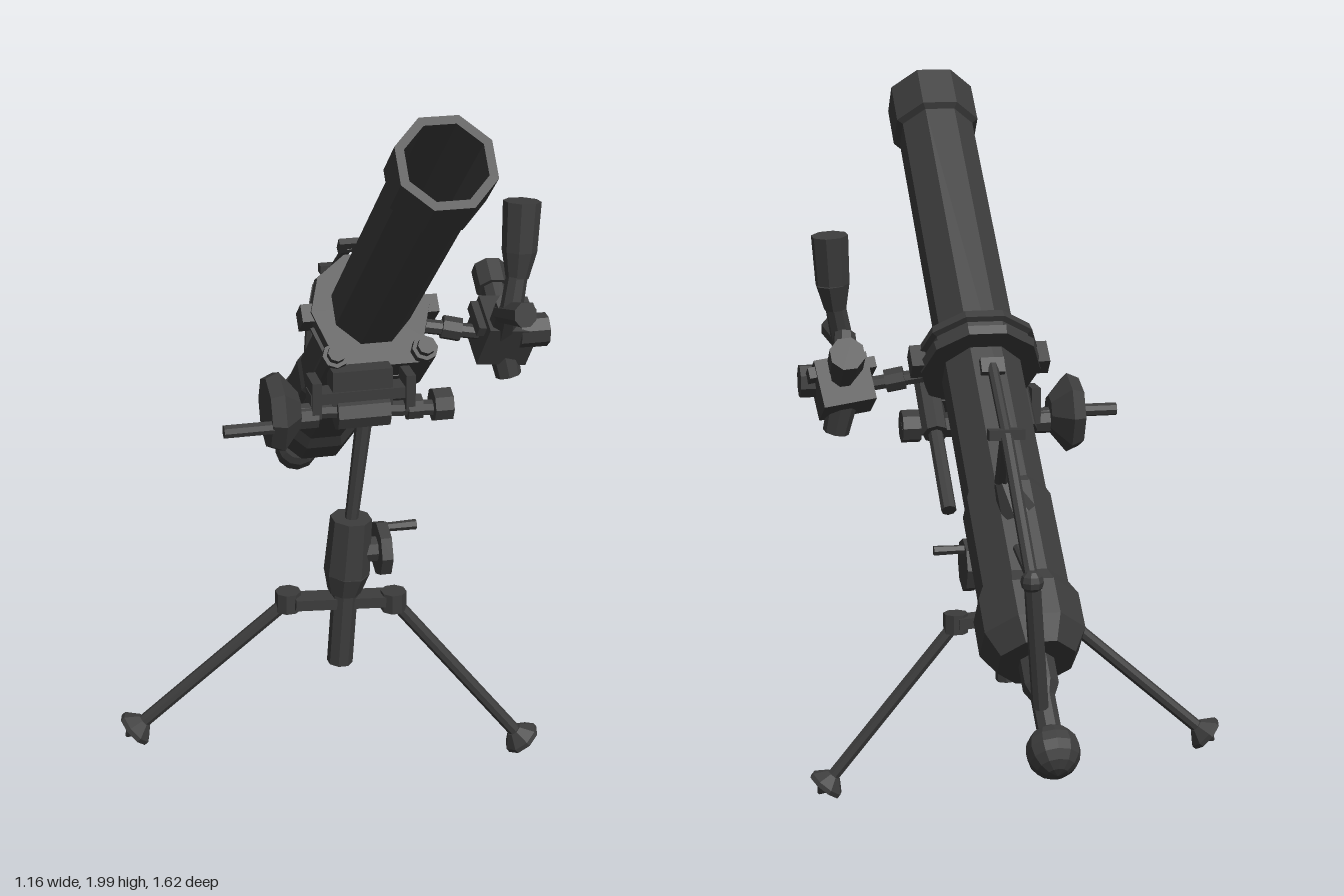
import * as THREE from 'three';

const V = (x, y, z) => new THREE.Vector3(x, y, z);
const mat = new THREE.MeshStandardMaterial({ color: 0x3c3c3c, flatShading: true });

function add(parent, name, geo, x = 0, y = 0, z = 0) {
  const m = new THREE.Mesh(geo, mat);
  m.name = name;
  m.position.set(x, y, z);
  parent.add(m);
  return m;
}
const box = (p, name, w, h, d, x, y, z) => add(p, name, new THREE.BoxGeometry(w, h, d), x, y, z);

// Cylinder running from point a to point b
function rod(parent, name, a, b, r0, r1 = r0, n = 8) {
  const A = V(...a), B = V(...b), d = B.clone().sub(A);
  const m = add(parent, name, new THREE.CylinderGeometry(r1, r0, d.length(), n));
  m.position.copy(A).add(B).multiplyScalar(0.5);
  m.quaternion.setFromUnitVectors(V(0, 1, 0), d.normalize());
  return m;
}

const lathe = (pts, n = 8) =>
  new THREE.LatheGeometry(pts.map(p => new THREE.Vector2(...p)), n).rotateY(Math.PI / n);

export function createModel() {
  const root = new THREE.Group();
  root.name = 'mortar';
  const yaw = -0.461;

  // Barrel frame: y runs from ball to muzzle, x sideways, z to the underside
  const ball = V(0.51, 0.475, -0.745);
  const axis = V(-0.22, 1.91, 0.72).sub(ball).normalize();
  const side = V(axis.z, 0, -axis.x).normalize();
  const tube = new THREE.Group();
  tube.name = 'barrelAssembly';
  tube.position.copy(ball);
  tube.quaternion.setFromRotationMatrix(
    new THREE.Matrix4().makeBasis(side, axis, side.clone().cross(axis)));
  root.add(tube);

  add(tube, 'barrel', lathe([[0, 0.25], [0.1, 0.25], [0.135, 0.31], [0.135, 0.41], [0.116, 0.45],
    [0.116, 0.72], [0.108, 0.74], [0.108, 2.03], [0.125, 2.04], [0.125, 2.17],
    [0.102, 2.17], [0.09, 0.6], [0, 0.6]]));
  add(tube, 'breechNeck', lathe([[0, 0.02], [0.03, 0.02], [0.03, 0.15], [0.045, 0.18], [0.045, 0.27], [0, 0.27]]));
  add(tube, 'ballFoot', new THREE.SphereGeometry(0.066, 12, 8));

  // Clamp ring: two flanges around a narrower band
  add(tube, 'clampRing', lathe([[0.1, 1.16], [0.16, 1.16], [0.165, 1.185], [0.15, 1.19], [0.15, 1.21],
    [0.165, 1.215], [0.16, 1.24], [0.1, 1.24]], 10));
  box(tube, 'clampSaddle', 0.27, 0.09, 0.05, 0, 1.2, 0.14);
  for (const s of [-1, 1]) {
    box(tube, 'clampLug', 0.04, 0.07, 0.05, s * 0.165, 1.2, 0);
    rod(tube, 'bufferCylinder', [s * 0.12, 1.06, 0.135], [s * 0.12, 1.27, 0.135], 0.035);
    rod(tube, 'bufferRod', [s * 0.12, 0.81, 0.135], [s * 0.12, 1.08, 0.135], 0.02);
    rod(tube, 'bufferCap', [s * 0.12, 1.27, 0.135], [s * 0.12, 1.29, 0.135], 0.024);
  }
  box(tube, 'bufferBridge', 0.26, 0.04, 0.03, 0, 1.08, 0.135);

  // Traversing head, lying across the barrel
  const head = new THREE.Group();
  head.name = 'traversingHead';
  head.position.set(-0.02, 1.06, 0.19);
  head.rotation.y = yaw;
  root.add(head);
  rod(head, 'traverseScrew', [-0.24, 0.02, 0], [0.24, -0.01, 0], 0.022);
  for (const [a, b, r] of [[-0.19, -0.12, 0.035], [-0.07, 0.07, 0.045], [0.12, 0.16, 0.035], [0.19, 0.24, 0.045]])
    rod(head, 'traverseSleeve', [a, 0, 0], [b, 0, 0], r);
  rod(head, 'traverseWheel', [-0.255, 0.02, 0], [-0.22, 0.02, 0], 0.095, 0.11);
  rod(head, 'traverseWheelHub', [-0.22, 0.02, 0], [-0.17, 0.02, 0], 0.11, 0.05);
  rod(head, 'traverseHandle', [-0.38, 0.01, 0.075], [-0.25, 0.01, 0.075], 0.018);
  box(head, 'headBlock', 0.16, 0.12, 0.07, 0, 0.06, -0.02);
  box(head, 'headBracket', 0.28, 0.03, 0.06, 0, 0.05, -0.01);
  for (const s of [-1, 1]) box(head, 'headCheek', 0.025, 0.1, 0.08, s * 0.125, 0.05, -0.01);

  // Elevating column
  const column = new THREE.Group();
  column.name = 'elevatingColumn';
  root.add(column);
  rod(column, 'elevatingTube', [-0.07, 0.325, 0.165], [-0.06, 0.56, 0.175], 0.035);
  rod(column, 'gearHousing', [-0.062, 0.54, 0.172], [-0.058, 0.6, 0.178], 0.045, 0.062);
  rod(column, 'gearHousing', [-0.058, 0.6, 0.178], [-0.05, 0.76, 0.186], 0.062, 0.056);
  rod(column, 'elevatingScrew', [-0.05, 0.75, 0.186], [-0.02, 1.04, 0.2], 0.018, 0.022);
  const crank = new THREE.Group();
  crank.name = 'elevatingCrank';
  crank.position.set(-0.055, 0.66, 0.182);
  crank.rotation.y = yaw;
  column.add(crank);
  rod(crank, 'crankShaft', [0, 0, 0], [0.09, 0, 0], 0.035);
  rod(crank, 'crankWheel', [0.075, 0, 0], [0.105, 0, 0], 0.075);
  rod(crank, 'crankHandle', [0.1, 0.05, -0.02], [0.19, 0.05, -0.02], 0.012, 0.014, 6);

  // Bipod crosspiece, legs and spiked feet
  const cross = box(column, 'bipodCrosspiece', 0.27, 0.03, 0.06, -0.06, 0.51, 0.165);
  cross.rotation.set(0, yaw, -0.07);
  for (const [hip, foot] of [[[0.06, 0.495, 0.235], [0.37, 0.04, 0.43]],
    [[-0.185, 0.515, 0.085], [-0.54, 0.15, -0.14]]]) {
    rod(root, 'legHinge', [hip[0], hip[1] - 0.025, hip[2]], [hip[0], hip[1] + 0.03, hip[2]], 0.035);
    rod(root, 'leg', hip, foot, 0.018);
    const d = V(...foot).sub(V(...hip)).normalize();
    const at = s => V(...foot).addScaledVector(d, s).toArray();
    rod(root, 'footCup', at(-0.035), at(-0.005), 0.022, 0.052);
    rod(root, 'footPlate', at(-0.005), at(0.008), 0.052);
    rod(root, 'footSpike', at(0.008), at(0.035), 0.025, 0.003, 6);
  }

  // Sight on the barrel's left
  const sight = new THREE.Group();
  sight.name = 'sight';
  root.add(sight);
  rod(sight, 'sightArm', [0.2, 1.23, 0.13], [0.36, 1.2, 0.24], 0.02);
  rod(sight, 'sightArmCollar', [0.27, 1.22, 0.175], [0.31, 1.21, 0.205], 0.032);
  const body = box(sight, 'sightBody', 0.14, 0.13, 0.13, 0.41, 1.2, 0.26);
  body.rotation.set(0.45, yaw, -0.15, 'YXZ');
  const plate = box(sight, 'sightPlate', 0.18, 0.03, 0.1, 0.41, 1.235, 0.27);
  plate.rotation.copy(body.rotation);
  rod(sight, 'sightRearDrum', [0.43, 1.23, 0.23], [0.48, 1.295, 0.14], 0.035);
  rod(sight, 'sightRearCap', [0.465, 1.275, 0.165], [0.495, 1.315, 0.11], 0.047);
  rod(sight, 'sightSideKnob', [0.42, 1.21, 0.31], [0.49, 1.21, 0.345], 0.045);
  rod(sight, 'sightLowerKnob', [0.41, 1.16, 0.26], [0.42, 1.075, 0.28], 0.04, 0.035);
  rod(sight, 'sightNeck', [0.38, 1.22, 0.29], [0.34, 1.32, 0.35], 0.04, 0.03);
  rod(sight, 'sightElbow', [0.345, 1.29, 0.33], [0.31, 1.325, 0.45], 0.03, 0.034);
  rod(sight, 'eyepieceStem', [0.335, 1.31, 0.37], [0.36, 1.4, 0.362], 0.03, 0.028);
  rod(sight, 'eyepiece', [0.36, 1.39, 0.362], [0.372, 1.46, 0.355], 0.03, 0.046);
  rod(sight, 'eyepiece', [0.372, 1.46, 0.355], [0.386, 1.59, 0.345], 0.046, 0.05);

  // Bent carrying handle behind the barrel
  const handle = new THREE.Group();
  handle.name = 'carryingHandle';
  root.add(handle);
  const bend = [[0.505, 0.57, -0.69], [0.55, 0.89, -0.715], [0.41, 1.18, -0.44], [0.32, 1.315, -0.27]];
  for (let i = 0; i < 3; i++) rod(handle, 'handleBar', bend[i], bend[i + 1], [0.02, 0.016, 0.014][i]);
  add(handle, 'handleKnuckle', new THREE.SphereGeometry(0.028, 8, 6), ...bend[1]);
  rod(handle, 'handleLowerStrut', bend[1], [0.4, 0.9, -0.47], 0.011);
  rod(handle, 'handleUpperStrut', bend[2], [0.35, 1.04, -0.35], 0.016, 0.022);
  rod(handle, 'handleStrutFoot', [0.35, 1.04, -0.35], [0.325, 0.96, -0.375], 0.024, 0.05);
  box(handle, 'handleCrossbar', 0.09, 0.025, 0.03, ...bend[2]).rotation.y = yaw;
  box(handle, 'handleTip', 0.06, 0.04, 0.02, ...bend[3]).rotation.set(0.6, yaw, 0, 'YXZ');

  return root;
}
